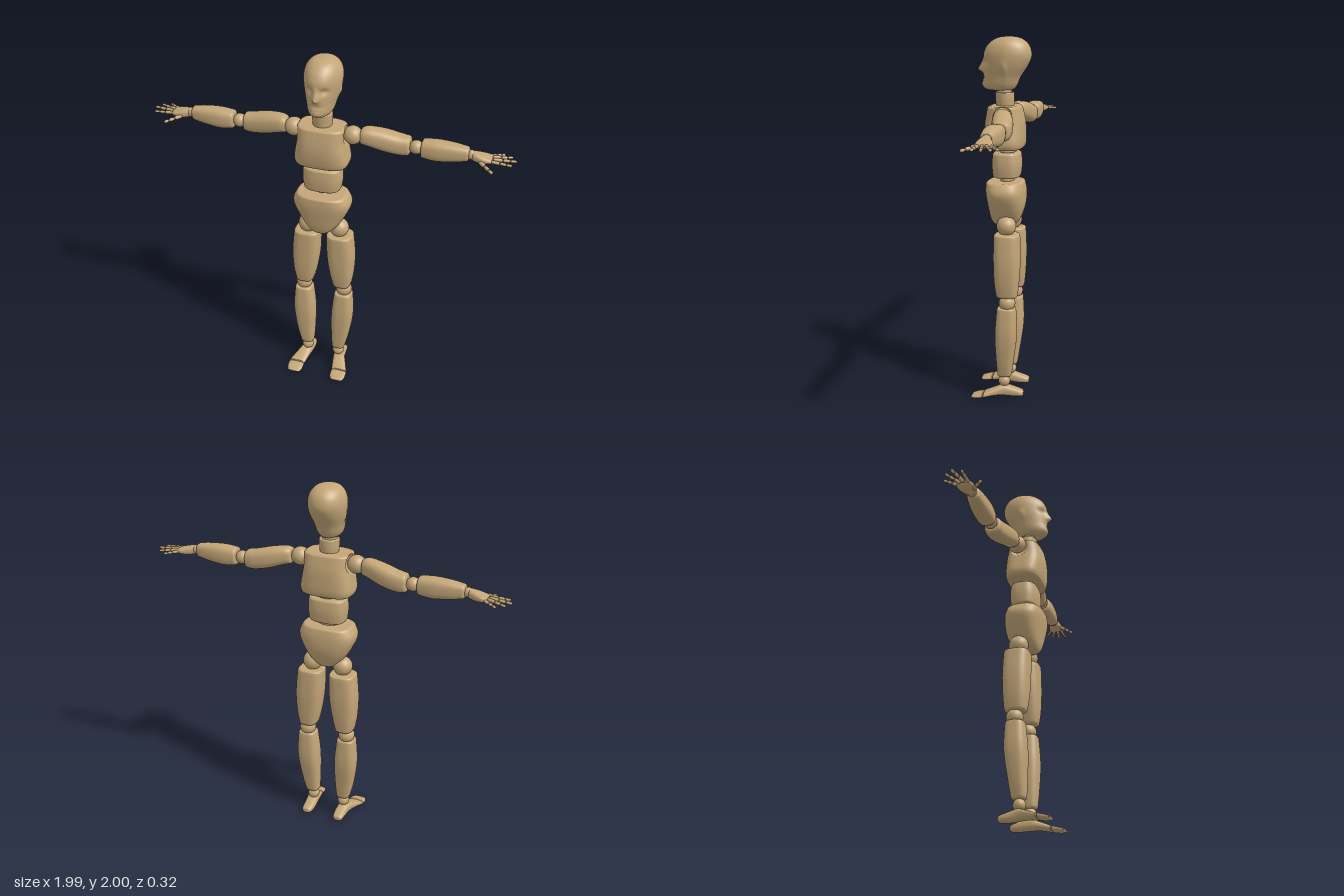
import * as THREE from 'three';

const wood = new THREE.MeshStandardMaterial({ color: 0xc4a678 });
wood.name = 'tan wood';

// Which coordinates a cross-section's two axes (a, b) and its path (t) map to
const AXES = { x: [1, 2, 0], y: [2, 0, 1], z: [0, 1, 2] };

// Smooth body through rounded sections [t, aMin, aMax, bMin, bMax], with
// bevelled flat ends. n sets squareness, shape(v) may move each vertex.
function loft(axis, secs, { n = 2.6, bevel = 0.012, rows = 16, segs = 36, shape } = {}) {
  const last = secs.length - 1;
  const curve = new THREE.CubicInterpolant(secs.map((_, i) => i), secs.flat(), 5);
  const at = (u) => Array.from(curve.evaluate(u));
  const rings = [];
  const t0 = secs[0][0], t1 = secs[last][0];
  const ease = [0, 0.15, 0.4, 0.7];
  const us = [];
  for (let i = 0; i <= rows; i++) us.push((i / rows) * last);
  const k0 = bevel / (secs[1][0] - t0), k1 = bevel / (t1 - secs[last - 1][0]);
  if (bevel) ease.forEach((e) => us.push(e * k0, last - e * k1));
  [...new Set(us)].sort((p, q) => p - q).forEach((u) => {
    const s = at(u);
    const d = Math.min(s[0] - t0, t1 - s[0]);
    const q = bevel ? Math.max(0, 1 - d / bevel) : 0;
    rings.push([...s, bevel * (1 - Math.sqrt(Math.max(0, 1 - q * q)))]);
  });
  const pos = [], idx = [], map = AXES[axis], v = new THREE.Vector3();
  const put = (a, b, t) => {
    v.setComponent(map[0], a).setComponent(map[1], b).setComponent(map[2], t);
    if (shape) shape(v);
    pos.push(v.x, v.y, v.z);
  };
  const pow = (c) => Math.sign(c) * Math.abs(c) ** (2 / n);
  const ring = ([t, a0, a1, b0, b1, inset]) => {
    for (let j = 0; j < segs; j++) {
      const w = (j / segs) * Math.PI * 2;
      put((a0 + a1) / 2 + ((a1 - a0) / 2 - inset) * pow(Math.cos(w)),
        (b0 + b1) / 2 + ((b1 - b0) / 2 - inset) * pow(Math.sin(w)), t);
    }
  };
  rings.forEach(ring);
  for (let i = 0; i < rings.length - 1; i++) {
    for (let j = 0; j < segs; j++) {
      const a = i * segs + j, b = i * segs + (j + 1) % segs;
      idx.push(a, b, a + segs, b, b + segs, a + segs);
    }
  }
  // End caps
  [rings[0], rings[rings.length - 1]].forEach((r, end) => {
    const base = pos.length / 3;
    ring(r);
    put((r[1] + r[2]) / 2, (r[3] + r[4]) / 2, r[0]);
    for (let j = 0; j < segs; j++) {
      const a = base + j, b = base + (j + 1) % segs;
      idx.push(base + segs, ...(end ? [a, b] : [b, a]));
    }
  });
  const geo = new THREE.BufferGeometry();
  geo.setAttribute('position', new THREE.Float32BufferAttribute(pos, 3));
  geo.setIndex(idx);
  geo.computeVertexNormals();
  return geo;
}

const ball = (r, x, y, z, segs = 24) => new THREE.SphereGeometry(r, segs, segs * 0.7 | 0).translate(x, y, z);

function mirrored(geo) {
  const m = geo.clone().scale(-1, 1, 1);
  const ix = m.index.array;
  for (let i = 0; i < ix.length; i += 3) [ix[i], ix[i + 1]] = [ix[i + 1], ix[i]];
  return m;
}

// Face relief: narrower front, nose, eye sockets, mouth line and ears
function sculptFace(v) {
  const bump = (x, y, sx, sy) => Math.exp(-(((v.x - x) / sx) ** 2) - (((v.y - y) / sy) ** 2));
  const clamp = THREE.MathUtils.clamp;
  const front = clamp((v.z - 0.02) / 0.06, 0, 1);
  v.x *= 1 - 0.12 * clamp((v.z + 0.02) / 0.1, 0, 1);
  const ramp = v.y < 1.825 ? Math.exp(-(((v.y - 1.825) / 0.012) ** 2)) : clamp((1.89 - v.y) / 0.065, 0, 1);
  v.z += front * (0.032 * ramp * Math.exp(-((v.x / 0.015) ** 2))
    - 0.016 * (bump(0.038, 1.865, 0.025, 0.018) + bump(-0.038, 1.865, 0.025, 0.018))
    - 0.006 * bump(0, 1.785, 0.03, 0.006) + 0.005 * bump(0, 1.745, 0.025, 0.015));
  const ear = Math.exp(-(((v.z + 0.015) / 0.012) ** 2) - (((v.y - 1.835) / 0.028) ** 2));
  v.x += Math.sign(v.x) * 0.007 * ear * clamp(Math.abs(v.x) / 0.07, 0, 1);
}

// Hollows the chest around the shoulder balls
function armSocket(v) {
  const c = new THREE.Vector3(v.x < 0 ? -0.16 : 0.16, 1.588, -0.02);
  const d = v.distanceTo(c);
  if (d < 0.062) v.sub(c).multiplyScalar(0.062 / Math.max(d, 0.01)).add(c);
}

export function createModel() {
  const model = new THREE.Group();
  model.name = 'artistMannequin';
  const add = (name, geo) => {
    const m = new THREE.Mesh(geo, wood);
    m.name = name;
    model.add(m);
  };
  const pair = (name, geo) => {
    add('left' + name, geo);
    add('right' + name, mirrored(geo));
  };

  // Head and trunk, sections are [y, zMin, zMax, xMin, xMax]
  add('head', loft('y', [
    [1.715, -0.035, 0.075, -0.035, 0.035], [1.722, -0.055, 0.1, -0.055, 0.055],
    [1.745, -0.072, 0.115, -0.07, 0.07], [1.79, -0.092, 0.112, -0.081, 0.081],
    [1.84, -0.125, 0.112, -0.094, 0.094], [1.885, -0.146, 0.113, -0.1, 0.1],
    [1.92, -0.147, 0.107, -0.099, 0.099], [1.955, -0.134, 0.087, -0.088, 0.088],
    [1.982, -0.105, 0.055, -0.066, 0.066], [1.995, -0.073, 0.02, -0.04, 0.04],
    [2.0, -0.035, -0.015, -0.008, 0.008],
  ], { n: 2.1, bevel: 0, rows: 60, segs: 72, shape: sculptFace }));
  add('neck', loft('y', [[1.63, -0.055, 0.043, -0.05, 0.05], [1.67, -0.057, 0.046, -0.054, 0.054],
    [1.705, -0.055, 0.048, -0.056, 0.056]], { n: 2, bevel: 0.006 }));
  add('neckJoint', ball(0.042, 0, 1.705, 0));
  add('chest', loft('y', [
    [1.405, -0.108, 0.08, -0.138, 0.138], [1.44, -0.115, 0.09, -0.147, 0.147],
    [1.5, -0.115, 0.097, -0.138, 0.138], [1.56, -0.11, 0.094, -0.128, 0.128],
    [1.635, -0.092, 0.08, -0.128, 0.128],
  ], { n: 3.2, rows: 30, segs: 72, shape: armSocket }));
  add('upperSpineDisc', loft('y', [[1.384, -0.066, 0.024, -0.065, 0.065], [1.403, -0.066, 0.024, -0.065, 0.065]],
    { n: 2, bevel: 0.003 }));
  add('waist', loft('y', [[1.247, -0.09, 0.055, -0.1, 0.1], [1.315, -0.097, 0.061, -0.108, 0.108],
    [1.383, -0.092, 0.057, -0.104, 0.104]], { n: 2.8 }));
  add('lowerSpineDisc', loft('y', [[1.226, -0.056, 0.02, -0.056, 0.056], [1.243, -0.056, 0.02, -0.056, 0.056]],
    { n: 2, bevel: 0.003 }));
  add('pelvis', loft('y', [
    [0.98, -0.07, 0.055, -0.045, 0.045], [1.02, -0.095, 0.07, -0.088, 0.088],
    [1.09, -0.117, 0.082, -0.132, 0.132], [1.165, -0.12, 0.092, -0.16, 0.16],
    [1.225, -0.11, 0.092, -0.138, 0.138],
  ], { n: 2.8, rows: 24 }));

  // Legs
  pair('HipJoint', ball(0.054, 0.09, 0.988, -0.03));
  pair('Thigh', loft('y', [
    [0.592, -0.095, 0.02, 0.062, 0.16], [0.68, -0.103, 0.031, 0.042, 0.174],
    [0.8, -0.108, 0.036, 0.025, 0.179], [0.946, -0.104, 0.036, 0.02, 0.167],
  ], { n: 3 }));
  pair('KneeJoint', ball(0.046, 0.12, 0.56, -0.04));
  pair('Shin', loft('y', [
    [0.123, -0.06, 0.016, 0.06, 0.133], [0.23, -0.075, 0.022, 0.054, 0.158],
    [0.38, -0.093, 0.026, 0.053, 0.177], [0.535, -0.088, 0.015, 0.068, 0.17],
  ], { n: 3 }));
  pair('AnkleJoint', ball(0.034, 0.096, 0.095, -0.02));
  pair('Foot', loft('z', [
    [-0.13, 0.082, 0.118, 0.015, 0.04], [-0.115, 0.07, 0.128, 0.01, 0.048],
    [-0.07, 0.065, 0.132, 0.008, 0.062], [-0.02, 0.068, 0.138, 0.01, 0.073],
    [0.03, 0.076, 0.157, 0.012, 0.056], [0.088, 0.086, 0.18, 0.005, 0.034],
  ], { bevel: 0.003, rows: 20 }));
  pair('Toes', loft('z', [[0.092, 0.087, 0.18, 0.004, 0.032], [0.13, 0.088, 0.179, 0, 0.022],
    [0.158, 0.1, 0.168, 0, 0.013]], { bevel: 0.005 }));

  // Arms, sections are [x, yMin, yMax, zMin, zMax]
  pair('ShoulderJoint', ball(0.05, 0.16, 1.588, -0.02));
  pair('UpperArm', loft('x', [
    [0.2, 1.545, 1.628, -0.072, 0.008], [0.24, 1.537, 1.636, -0.088, 0.012],
    [0.32, 1.512, 1.625, -0.11, 0.002], [0.4, 1.497, 1.606, -0.118, -0.012],
    [0.455, 1.5, 1.597, -0.113, -0.022],
  ], { n: 2.6, rows: 20 }));
  pair('ElbowJoint', ball(0.037, 0.485, 1.547, -0.066));
  pair('Forearm', loft('x', [
    [0.513, 1.502, 1.595, -0.11, -0.022], [0.59, 1.493, 1.602, -0.116, -0.016],
    [0.68, 1.503, 1.598, -0.112, -0.022], [0.758, 1.517, 1.588, -0.1, -0.034],
  ], { n: 2.8 }));
  pair('WristJoint', ball(0.026, 0.768, 1.551, -0.067));
  pair('Palm', loft('x', [
    [0.775, 1.525, 1.572, -0.092, -0.042], [0.81, 1.518, 1.567, -0.106, -0.032],
    [0.845, 1.52, 1.558, -0.116, -0.03], [0.875, 1.526, 1.55, -0.114, -0.036],
  ], { bevel: 0.006 }));

  // Fingers: three tapering segments with small ball joints between them
  const fingers = {
    LittleFinger: [[0.862, 1.538, -0.108], [0.93, 1.53, -0.155], 0.009],
    RingFinger: [[0.873, 1.54, -0.09], [0.972, 1.534, -0.13], 0.0095],
    MiddleFinger: [[0.877, 1.54, -0.07], [0.995, 1.536, -0.09], 0.01],
    IndexFinger: [[0.872, 1.539, -0.047], [0.978, 1.534, -0.043], 0.0095],
    Thumb: [[0.815, 1.533, -0.04], [0.892, 1.516, 0.028], 0.011],
  };
  const up = new THREE.Vector3(0, 1, 0);
  for (const [name, [from, to, r]] of Object.entries(fingers)) {
    const a = new THREE.Vector3(...from), b = new THREE.Vector3(...to);
    const dir = b.clone().sub(a).normalize();
    const turn = new THREE.Quaternion().setFromUnitVectors(up, dir);
    const stops = [0, 0.42, 0.73, 1];
    for (let i = 0; i < 3; i++) {
      const p = a.clone().lerp(b, stops[i]), q = a.clone().lerp(b, stops[i + 1]);
      const len = p.distanceTo(q), rad = r * (1 - 0.12 * i);
      const mid = p.clone().lerp(q, 0.5);
      pair(`${name}Segment${i + 1}`, new THREE.CapsuleGeometry(rad, Math.max(0.004, len - 2 * rad), 4, 12)
        .applyQuaternion(turn).translate(mid.x, mid.y, mid.z));
      pair(`${name}Joint${i + 1}`, ball(rad * 0.75, p.x, p.y, p.z, 10));
    }
  }
  return model;
}
